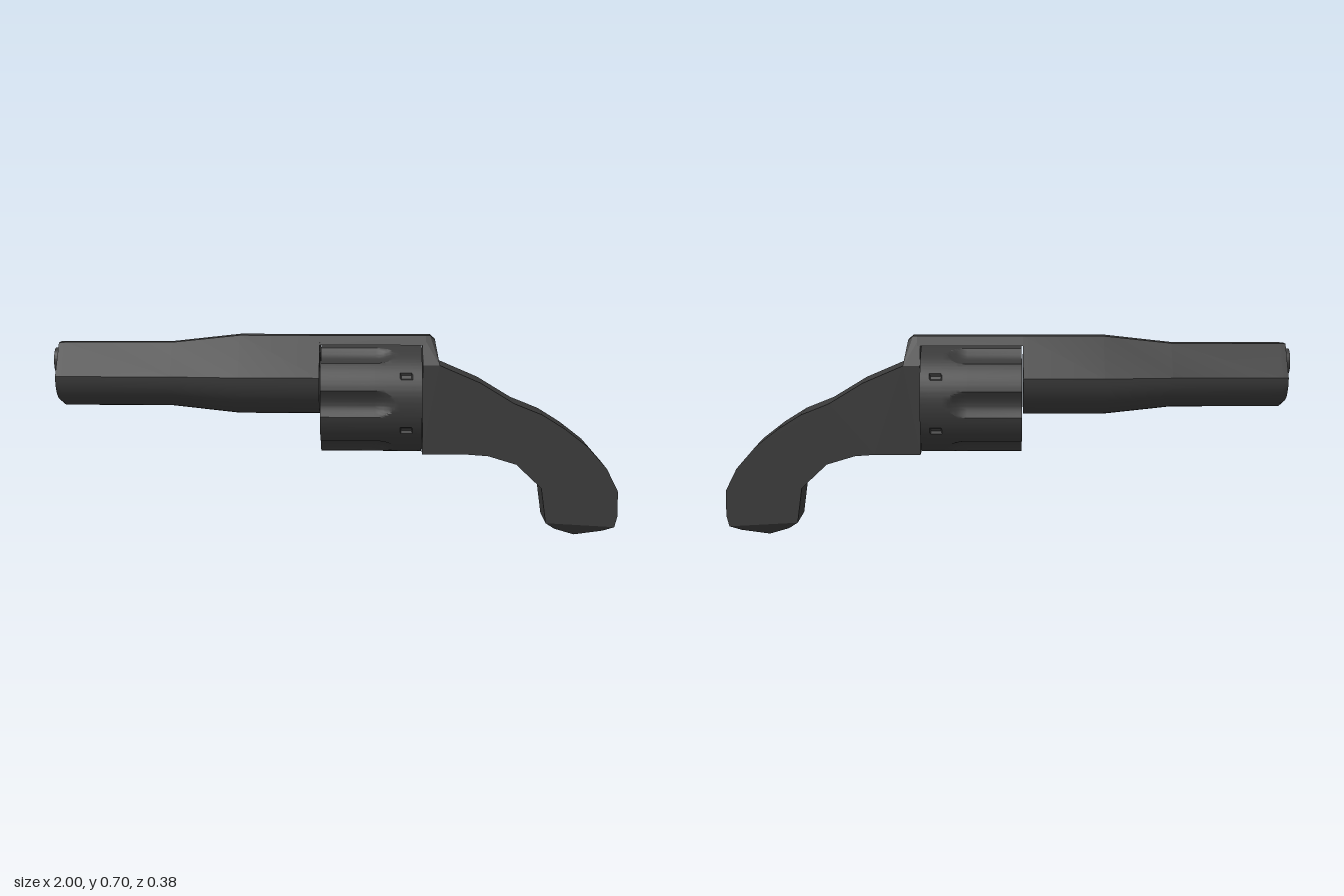
import * as THREE from 'three';
import { toCreasedNormals } from 'three/addons/utils/BufferGeometryUtils.js';
import { ConvexGeometry } from 'three/addons/geometries/ConvexGeometry.js';

const metal = new THREE.MeshStandardMaterial({ color: 0x3a3a3a });
const metalInside = new THREE.MeshStandardMaterial({ color: 0x3a3a3a, side: THREE.DoubleSide });

function part(name, geometry, material = metal) {
  const mesh = new THREE.Mesh(geometry, material);
  mesh.name = name;
  return mesh;
}

// Skin over rings of [z, y] points, each placed at its own x
function loft(rings) {
  const pos = [];
  for (let i = 0; i < rings.length - 1; i++) {
    const a = rings[i], b = rings[i + 1], n = a.pts.length;
    for (let j = 0; j < n; j++) {
      const k = (j + 1) % n;
      const p = (r, m) => [r.pts[m][0], r.pts[m][1], r.x];
      pos.push(...p(a, j), ...p(a, k), ...p(b, k), ...p(a, j), ...p(b, k), ...p(b, j));
    }
  }
  const g = new THREE.BufferGeometry();
  g.setAttribute('position', new THREE.Float32BufferAttribute(pos, 3));
  g.rotateY(Math.PI / 2);
  return toCreasedNormals(g, 0.5);
}

// Flat end of a loft, with round holes [z, y, radius]
function cap(ring, holes, dir) {
  const shape = new THREE.Shape(ring.pts.map(([u, v]) => new THREE.Vector2(u, v)));
  for (const [u, v, r] of holes) {
    shape.holes.push(new THREE.Path().absarc(u, v, r, 0, Math.PI * 2, true));
  }
  const g = new THREE.ShapeGeometry(shape, 16);
  g.rotateY(dir * Math.PI / 2);
  return g.translate(ring.x, 0, 0);
}

// Open tube along x
function bore(r, x0, x1, y, z) {
  const g = new THREE.CylinderGeometry(r, r, x1 - x0, 32, 1, true);
  return g.rotateZ(Math.PI / 2).translate((x0 + x1) / 2, y, z);
}

// Barrel section: flat top, sloping sides, round belly
function barrelRing(x, r, belly = 1) {
  const pts = [[r, 0.565], [0.22 * r, 0.565 + r], [-0.22 * r, 0.565 + r]];
  for (let i = 0; i < 20; i++) {
    const a = Math.PI + (i / 20) * Math.PI;
    pts.push([r * Math.cos(a), 0.565 + belly * r * Math.sin(a)]);
  }
  return { x, pts };
}

function createBarrel() {
  const group = new THREE.Group();
  group.name = 'barrel';
  const rings = [
    barrelRing(-0.985, 0.112, 0.84), barrelRing(-0.965, 0.113), barrelRing(-0.58, 0.114),
    barrelRing(-0.34, 0.14), barrelRing(-0.055, 0.14),
  ];
  group.add(part('barrelBody', loft(rings)));
  group.add(part('muzzleFace', cap(rings[0], [[0, 0.612, 0.03]], -1)));
  group.add(part('barrelRear', cap(rings[4], [[0, 0.612, 0.03]], 1)));
  group.add(part('barrelBore', bore(0.03, -1, -0.055, 0.612, 0), metalInside));
  // Raised ring round the bore
  const ring = new THREE.Shape().absarc(0, 0, 0.045, 0, Math.PI * 2);
  ring.holes.push(new THREE.Path().absarc(0, 0, 0.03, 0, Math.PI * 2, true));
  const g = new THREE.ExtrudeGeometry(ring, { depth: 0.02, bevelEnabled: false, curveSegments: 24 });
  g.rotateY(Math.PI / 2).translate(-1, 0.612, 0);
  group.add(part('muzzleRing', toCreasedNormals(g, 0.6)));
  return group;
}

function createCylinder() {
  const group = new THREE.Group();
  group.name = 'cylinder';
  const x0 = -0.05, x1 = 0.305, cy = 0.48, R = 0.19, N = 180, step = Math.PI / 3;
  const stations = [x0, 0.14, 0.155, 0.17, 0.18, 0.19, 0.2, 0.205, 0.21, 0.228, 0.232, 0.268, 0.272, x1];
  const rings = stations.map((x) => {
    const pts = [];
    for (let i = 0; i < N; i++) {
      const a = (i / N) * Math.PI * 2;
      const d = a - Math.round(a / step) * step; // angle from the nearest flute
      const q = (d / 0.245) ** 2 + (Math.max(0, x - 0.14) / 0.07) ** 2;
      let r = R - 0.022 * Math.max(0, 1 - q);
      // Stop notches between the flutes
      if (x > 0.23 && x < 0.27 && Math.abs(Math.abs(d) - step / 2) < 0.04) r -= 0.008;
      pts.push([r * Math.cos(a), cy + r * Math.sin(a)]);
    }
    return { x, pts };
  });
  const chambers = [];
  for (let i = 0; i < 6; i++) {
    const a = (i + 0.5) * step;
    chambers.push([0.132 * Math.cos(a), cy + 0.132 * Math.sin(a), 0.038]);
  }
  group.add(part('cylinderBody', loft(rings)));
  group.add(part('cylinderFront', cap(rings[0], chambers, -1)));
  group.add(part('cylinderBack', cap(rings[rings.length - 1], chambers, 1)));
  for (const [z, y, r] of chambers) group.add(part('chamber', bore(r, x0, x1, y, z), metalInside));
  return group;
}

function hull(points) {
  return new ConvexGeometry(points.map((p) => new THREE.Vector3(...p)));
}

// Points mirrored across the centre plane
const mirrored = (list) => list.flatMap(([x, y, z]) => [[x, y, z], [x, y, -z]]);

function createFrame() {
  const group = new THREE.Group();
  group.name = 'frame';
  // Strap over the cylinder
  const strap = [-0.06, 0.32].flatMap((x) => [[x, 0.705, 0.03], [x, 0.673, 0.054]]);
  group.add(part('topStrap', hull(mirrored(strap))));
  // Sloped block behind the cylinder
  group.add(part('rearFrame', hull(mirrored([
    [0.308, 0.705, 0.03], [0.335, 0.705, 0.028], [0.352, 0.69, 0.03],
    [0.308, 0.605, 0.096], [0.368, 0.605, 0.096],
  ]))));
  return group;
}

function createGrip() {
  const group = new THREE.Group();
  group.name = 'grip';
  const outline = [
    [0.308, 0.29], [0.47, 0.29], [0.54, 0.285], [0.64, 0.255], [0.73, 0.17], [0.747, 0.045],
    [0.99, 0.032], [1, 0.07], [1, 0.16], [0.96, 0.24], [0.89, 0.32], [0.81, 0.382], [0.73, 0.432],
    [0.63, 0.472], [0.51, 0.545], [0.368, 0.606], [0.308, 0.606],
  ].map(([x, y]) => new THREE.Vector2(x, y));
  const g = new THREE.ExtrudeGeometry(new THREE.Shape(outline), { depth: 0.192, bevelEnabled: false });
  g.translate(0, 0, -0.096);
  group.add(part('gripBody', toCreasedNormals(g, 0.5)));
  // Chamfered butt
  group.add(part('gripButt', hull(mirrored([
    [0.747, 0.045, 0.096], [0.99, 0.032, 0.096], [0.78, 0.022, 0.08],
    [0.85, 0, 0.07], [0.95, 0.016, 0.08],
  ]))));
  return group;
}

export function createModel() {
  const model = new THREE.Group();
  model.name = 'revolver';
  model.add(createBarrel(), createCylinder(), createFrame(), createGrip());
  return model;
}
